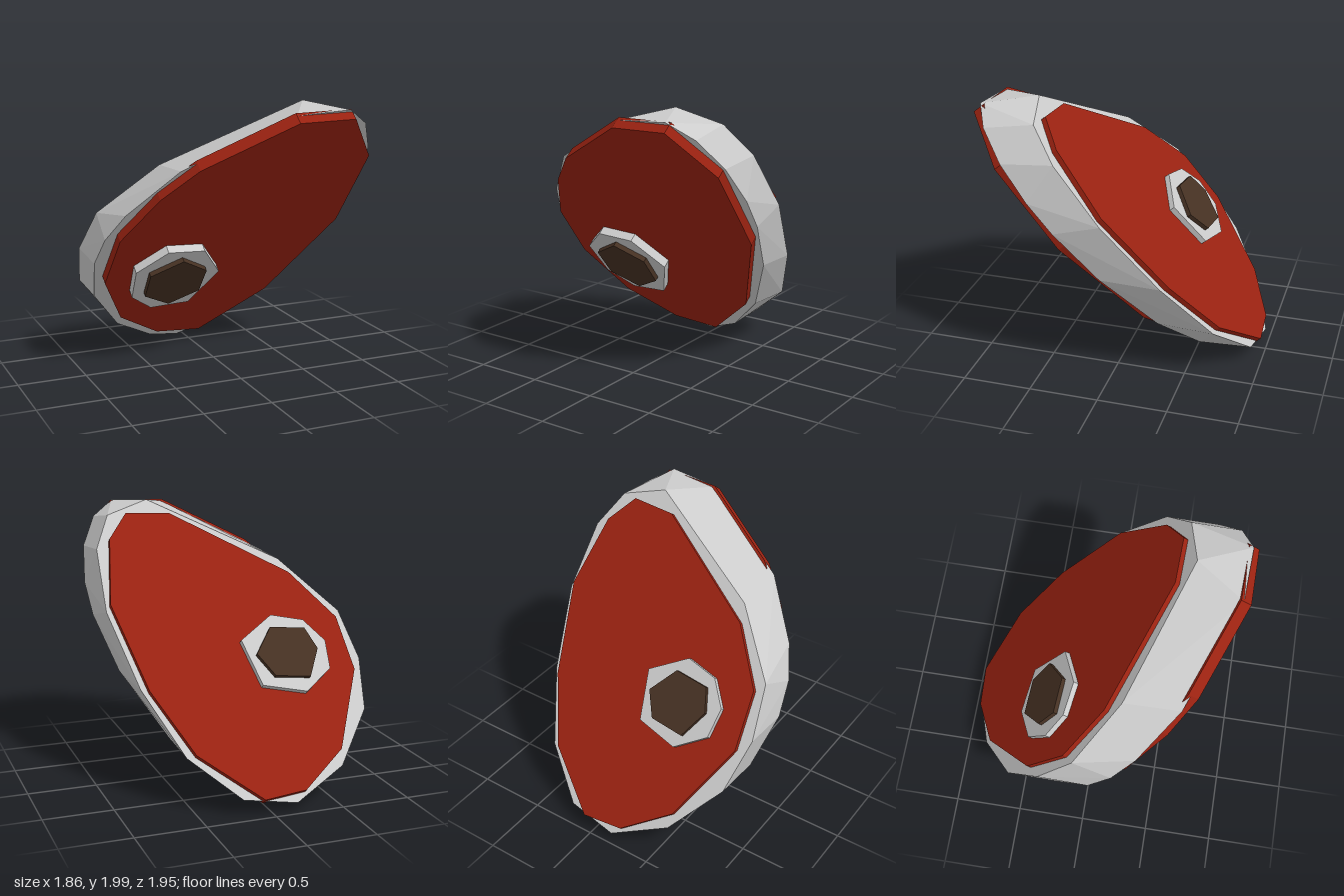
import * as THREE from 'three';
import { ConvexGeometry } from 'three/addons/geometries/ConvexGeometry.js';

const material = color => new THREE.MeshStandardMaterial({ color, flatShading: true });
const FAT = material(0xcccccc), MEAT = material(0x9b2211), MARROW = material(0x463123);

// Outline [x, y] points placed at depth z
const at = (outline, z) => outline.map(([x, y]) => new THREE.Vector3(x, y, z));

// Faceted convex solid spanning two outlines
function slab(name, mat, front, zFront, back, zBack) {
  const mesh = new THREE.Mesh(new ConvexGeometry([...at(front, zFront), ...at(back, zBack)]), mat);
  mesh.name = name;
  return mesh;
}

// Straight prism between two depths
const prism = (name, mat, outline, z0, z1) => slab(name, mat, outline, z0, outline, z1);

// Fat rim outlines
const rimFront = [[0.2, 2.08], [0.59, 2.11], [0.76, 1.97], [0.88, 1.72], [0.925, 1.41], [0.91, 1.14],
  [0.8, 0.68], [0.54, 0.13], [0.22, -0.25], [-0.05, -0.39], [-0.28, -0.35], [-0.6, -0.13],
  [-0.86, 0.28], [-0.93, 0.68], [-0.9, 0.94], [-0.8, 1.19], [-0.5, 1.61]];
const rimBack = [[0.42, 1.91], [0.74, 1.79], [0.87, 1.51], [0.89, 1.0], [0.76, 0.39], [0.54, -0.14],
  [0.21, -0.48], [-0.17, -0.55], [-0.57, -0.33], [-0.86, 0.07], [-0.93, 0.47], [-0.87, 0.87], [-0.5, 1.34]];

// Meat outlines
const meatFront = [[0.2, 2.08], [0.61, 2.09], [0.86, 1.71], [0.855, 1.02], [0.52, 0.21], [0.08, -0.25],
  [-0.28, -0.21], [-0.63, 0.055], [-0.84, 0.52], [-0.82, 1.0], [-0.62, 1.41], [-0.4, 1.68]];
const meatBack = [[0.07, -0.51], [-0.24, -0.48], [-0.58, -0.22], [-0.85, 0.37], [-0.82, 0.8], [-0.54, 1.2],
  [0.28, 1.76], [0.61, 1.78], [0.77, 1.57], [0.86, 1.04], [0.71, 0.36], [0.48, -0.14]];

// Bone and marrow outlines
const boneFront = [[-0.46, 0.9], [-0.18, 0.88], [0, 0.61], [-0.16, 0.26], [-0.45, 0.24], [-0.63, 0.4], [-0.66, 0.7]];
const boneBack = [[-0.42, 0.22], [-0.1, 0.3], [-0.02, 0.66], [-0.29, 0.84], [-0.53, 0.78], [-0.66, 0.6], [-0.64, 0.38]];
const marrowFront = [[-0.34, 0.32], [-0.55, 0.45], [-0.56, 0.69], [-0.34, 0.83], [-0.13, 0.69], [-0.13, 0.45]];
const marrowBack = [[-0.46, 0.32], [-0.2, 0.35], [-0.1, 0.53], [-0.25, 0.73], [-0.51, 0.7], [-0.57, 0.53]];

export function createModel() {
  const steak = new THREE.Group();
  steak.name = 'steak';
  steak.add(
    slab('fatRim', FAT, rimFront, -0.495, rimBack, -0.8),
    prism('frontMeat', MEAT, meatFront, -0.426, -0.52),
    prism('backMeat', MEAT, meatBack, -0.77, -0.838),
    prism('frontBone', FAT, boneFront, -0.36, -0.45),
    prism('backBone', FAT, boneBack, -0.82, -0.88),
    prism('frontMarrow', MARROW, marrowFront, -0.322, -0.38),
    prism('backMarrow', MARROW, marrowBack, -0.86, -0.912),
  );
  // Lean the whole cut forward
  steak.rotation.x = 0.676;
  const model = new THREE.Group();
  model.name = 'meatCut';
  model.add(steak);
  return model;
}
